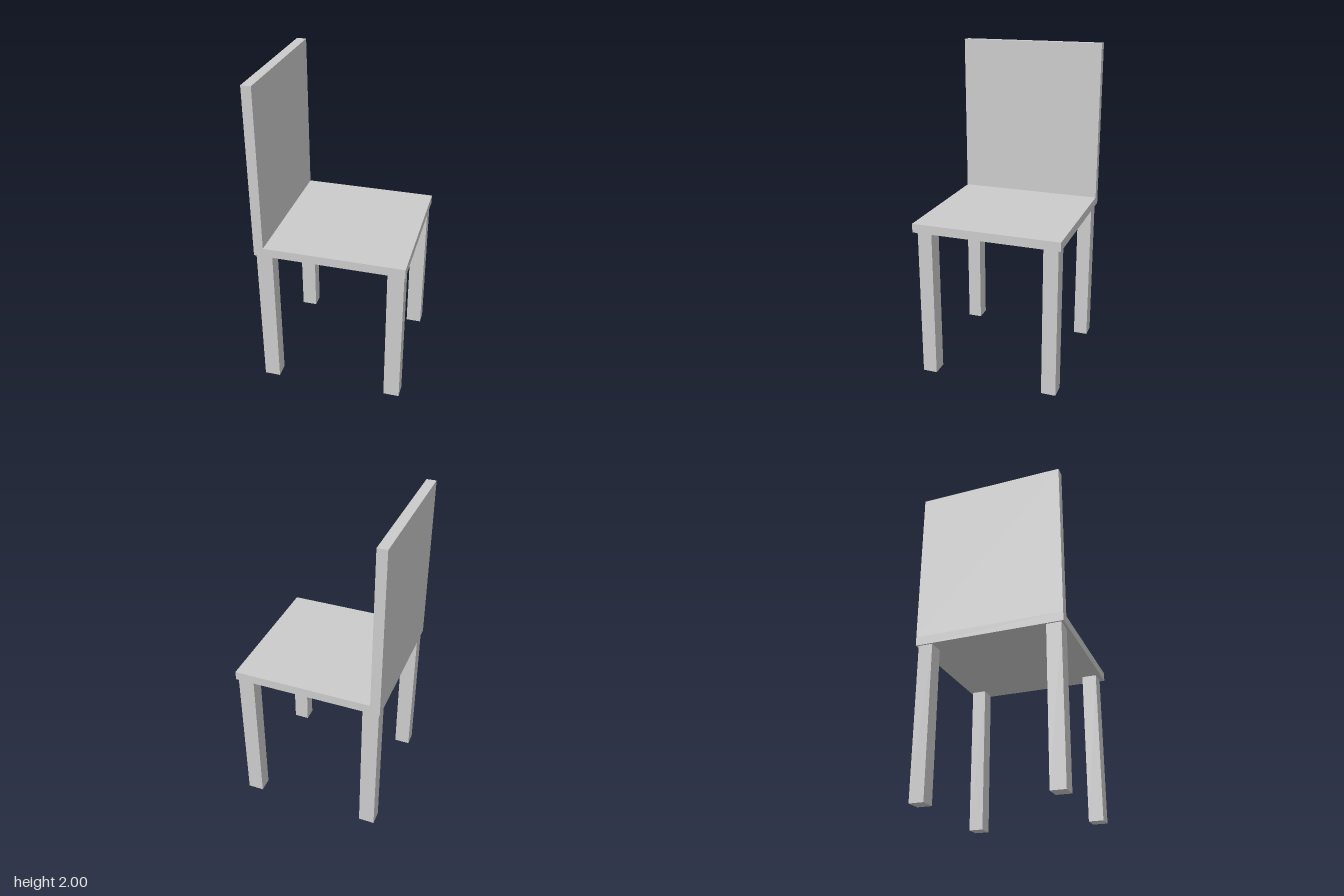
import * as THREE from 'three';

const material = new THREE.MeshStandardMaterial({ color: 0xcccccc, flatShading: true });

// Box given by its minimum and maximum corners
function box(name, [x0, y0, z0], [x1, y1, z1]) {
  const mesh = new THREE.Mesh(new THREE.BoxGeometry(x1 - x0, y1 - y0, z1 - z0), material);
  mesh.position.set((x0 + x1) / 2, (y0 + y1) / 2, (z0 + z1) / 2);
  mesh.name = name;
  return mesh;
}

export function createModel() {
  const chair = new THREE.Group();
  chair.name = 'chair';
  const seatBottom = 0.943, seatTop = 0.998, half = 0.46;

  // Seat slab, with the backrest standing on its -x edge
  chair.add(box('seat', [-half, seatBottom, -half], [half, seatTop, half]));
  chair.add(box('backrest', [-half, seatTop, -half], [-0.4, 2, half]));

  // Legs: centre x and z; one front leg is set slightly further in
  const legs = [
    ['frontLeftLeg', 0.4, 0.385],
    ['frontRightLeg', -0.4, 0.4],
    ['backLeftLeg', 0.4, -0.4],
    ['backRightLeg', -0.4, -0.4],
  ];
  for (const [name, x, z] of legs) {
    chair.add(box(name, [x - 0.05, 0, z - 0.045], [x + 0.05, seatBottom, z + 0.045]));
  }
  return chair;
}
